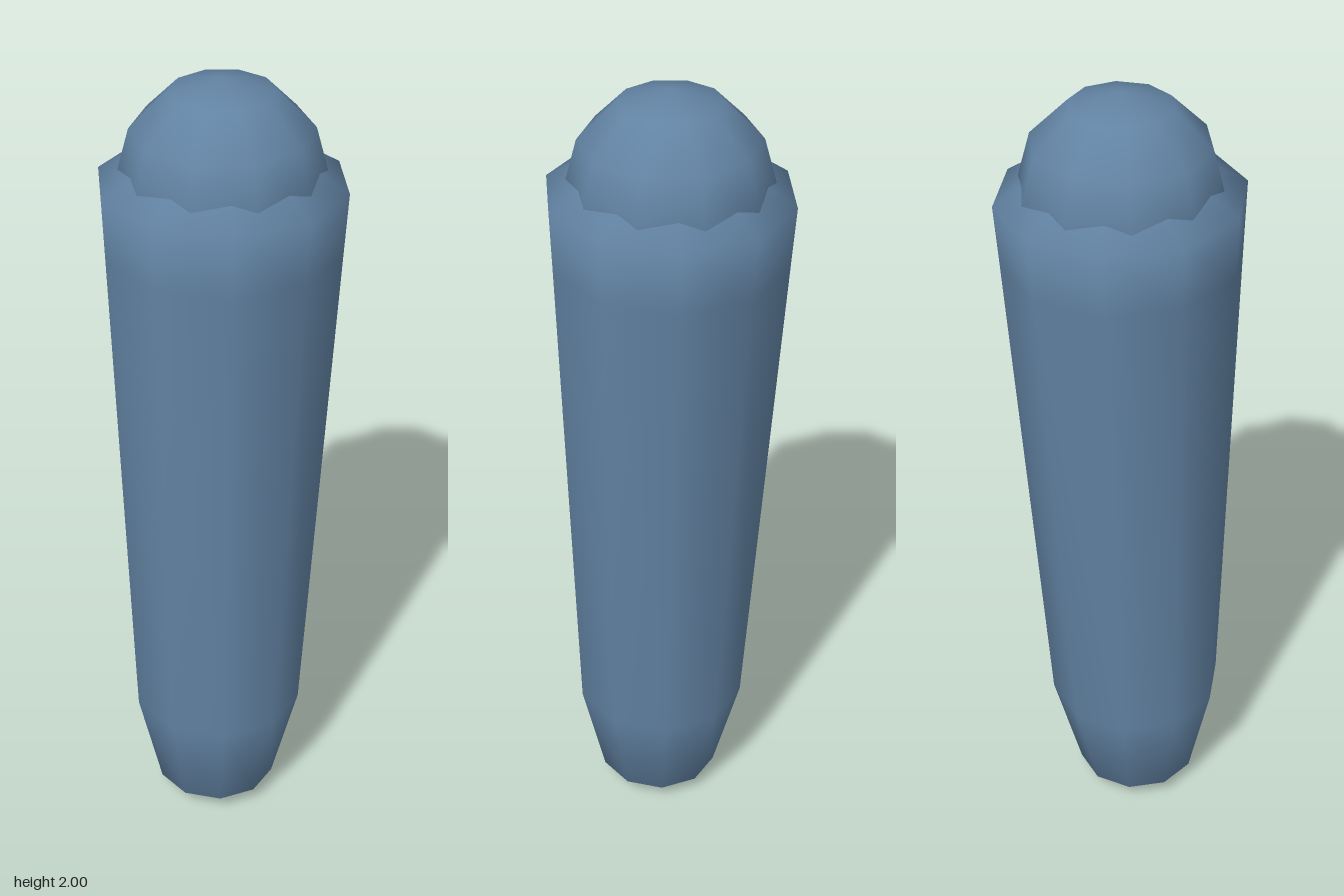
import * as THREE from 'three';
import { mergeVertices } from 'three/addons/utils/BufferGeometryUtils.js';

const SIDES = 10;

// Revolved profile with normals smoothed across the seam and poles
function smoothLathe(profile, phiStart) {
  const points = profile.map(([r, y]) => new THREE.Vector2(r, y));
  const lathe = new THREE.LatheGeometry(points, SIDES, phiStart);
  lathe.deleteAttribute('uv');
  lathe.deleteAttribute('normal');
  const geometry = mergeVertices(lathe, 1e-4);
  geometry.computeVertexNormals();
  return geometry;
}

export function createModel() {
  const group = new THREE.Group();
  group.name = 'taperedPeg';
  const material = new THREE.MeshStandardMaterial({ color: 0x6283a3 });

  // Tapered shaft, leaning slightly about the centre of its shoulder
  const pivot = 1.752;
  const profile = [
    [0, 0.002], [0.153, 0.05], [0.217, 0.318], [0.281, 1.6],
    [0.289, 1.752], [0.17, 1.825], [0, 1.86],
  ].map(([r, y]) => [r, y - pivot]);
  const shaft = new THREE.Mesh(smoothLathe(profile, 0.069), material);
  shaft.name = 'shaft';
  shaft.position.y = pivot;
  shaft.rotation.set(-0.025, 0, -0.0115);
  group.add(shaft);

  // Round knob, half sunk into the shoulder
  const knob = new THREE.Mesh(new THREE.SphereGeometry(0.24, SIDES, 6), material);
  knob.name = 'knob';
  knob.position.y = 1.76;
  group.add(knob);

  return group;
}
